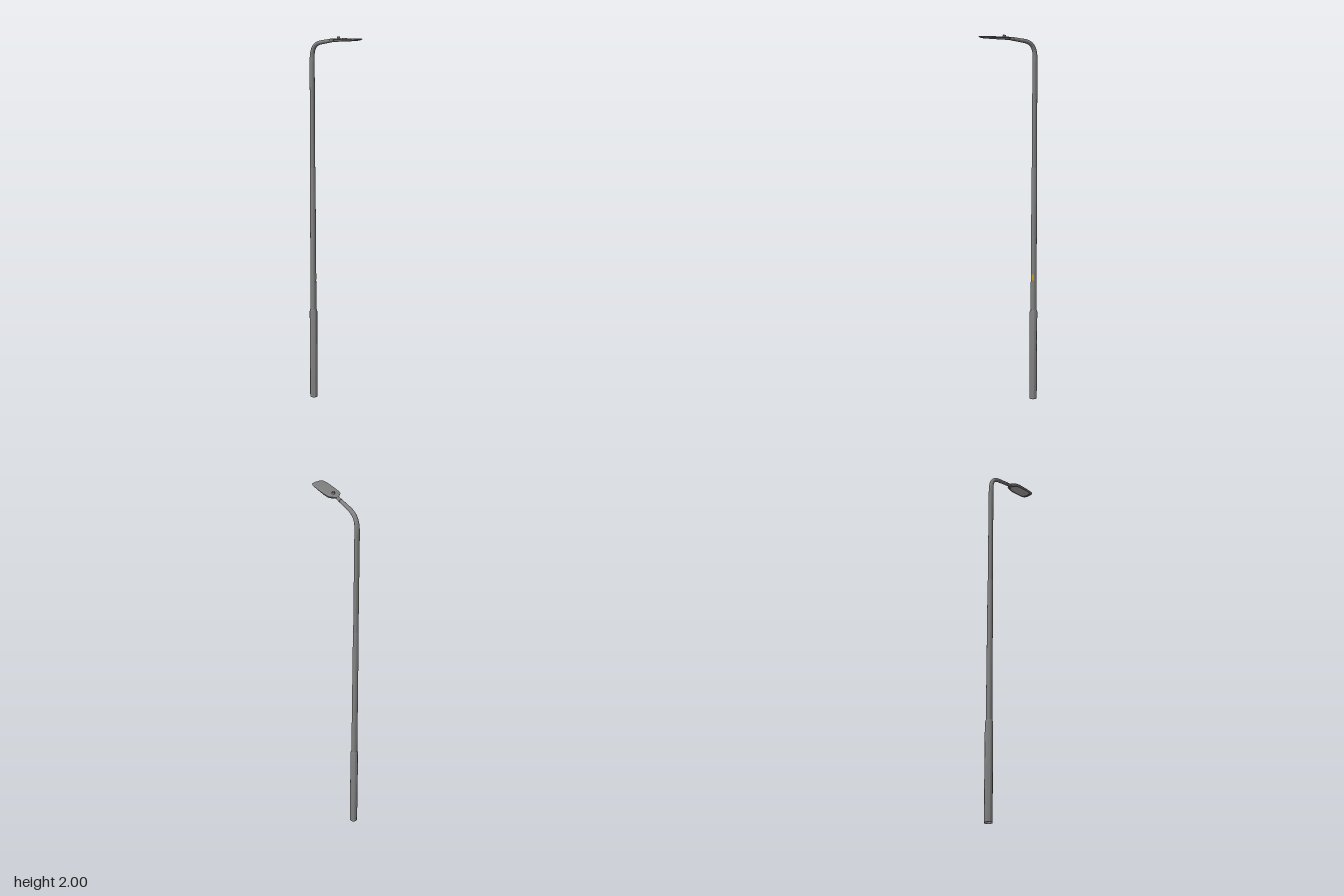
import * as THREE from 'three';
import { toCreasedNormals } from 'three/addons/utils/BufferGeometryUtils.js';

const metal = new THREE.MeshStandardMaterial({ color: 0x808080 });
metal.name = 'galvanised grey';
const lensGrey = new THREE.MeshStandardMaterial({ color: 0xb8b8b8 });
lensGrey.name = 'lens grey';
const amber = new THREE.MeshStandardMaterial({ color: 0xc99a1e });
amber.name = 'amber';

const POLE_X = -0.1545;

function add(parent, name, geometry, material, x = 0, y = 0, z = 0) {
  const mesh = new THREE.Mesh(geometry, material);
  mesh.name = name;
  mesh.position.set(x, y, z);
  parent.add(mesh);
  return mesh;
}

function lathe(points) {
  const profile = points.map(([r, y]) => new THREE.Vector2(r, y));
  return toCreasedNormals(new THREE.LatheGeometry(profile, 24), 0.6);
}

// Thin curved plate wrapped round the pole
function wrapPlate(radius, height, angle, span) {
  return new THREE.CylinderGeometry(radius, radius, height, 10, 1, true, angle - span / 2, span);
}

// Tube along a curve whose radius narrows from r0 to r1
function taperedTube(curve, r0, r1, segments, sides) {
  const geo = new THREE.TubeGeometry(curve, segments, 1, sides);
  const pos = geo.attributes.position;
  const p = new THREE.Vector3(), c = new THREE.Vector3();
  for (let i = 0; i < pos.count; i++) {
    const t = Math.floor(i / (sides + 1)) / segments;
    curve.getPointAt(t, c);
    p.fromBufferAttribute(pos, i).sub(c).multiplyScalar(r0 + (r1 - r0) * t).add(c);
    pos.setXYZ(i, p.x, p.y, p.z);
  }
  geo.computeVertexNormals();
  return geo;
}

// Rounded plan of the lamp head, mirrored in z
const halfPlan = [[0.174, 0.016], [0.168, 0.029], [0.155, 0.035], [0.13, 0.037], [0.05, 0.037], [0.022, 0.031], [0.009, 0.018], [0.001, 0.01]];
const planPoints = [
  [0.175, 0], ...halfPlan, [0.0, 0],
  ...halfPlan.map(([x, z]) => [x, -z]).reverse(),
].map(([x, z]) => new THREE.Vector3(x, 0, z));
const plan = new THREE.CatmullRomCurve3(planPoints, true).getPoints(72).slice(0, 72);

// Loops of the plan, each [scale, height above the tilted rim, depth share below it]
function planLoops(loops) {
  const cx = 0.092, n = plan.length, verts = [], index = [];
  for (const [scale, up, down] of loops) {
    for (const p of plan) {
      const x = cx + (p.x - cx) * scale;
      const depth = 0.014 - 0.04 * x;
      verts.push(x, 1.987 + 0.05 * x + up - depth * down, p.z * scale);
    }
  }
  for (let i = 0; i < loops.length - 1; i++) {
    for (let j = 0; j < n; j++) {
      const k = (j + 1) % n;
      const a = i * n + j, b = i * n + k, c = a + n, d = b + n;
      index.push(a, b, c, b, d, c);
    }
  }
  const geo = new THREE.BufferGeometry();
  geo.setAttribute('position', new THREE.Float32BufferAttribute(verts, 3));
  geo.setIndex(index);
  return toCreasedNormals(geo, 0.7);
}

export function createModel() {
  const model = new THREE.Group();
  model.name = 'streetLamp';

  // Stepped pole, hollow at the foot
  const pole = new THREE.Group();
  pole.name = 'pole';
  pole.position.x = POLE_X;
  model.add(pole);
  add(pole, 'baseSection', lathe([
    [0, 0.3], [0.0185, 0.3], [0.0185, 0], [0.0208, 0], [0.0208, 0.505], [0.0165, 0.52], [0, 0.52],
  ]), metal);
  add(pole, 'middleSection', lathe([[0.0162, 0.51], [0.0145, 1.3], [0.0133, 1.306], [0, 1.306]]), metal);
  add(pole, 'upperSection', lathe([[0.0134, 1.3], [0.013, 1.86]]), metal);

  // Access door on the side away from the lamp
  add(pole, 'accessDoor', wrapPlate(0.0211, 0.12, Math.PI * 1.5, 1), metal, 0, 0.23, 0);

  // Identification plate
  add(pole, 'identificationPlate', wrapPlate(0.0166, 0.032, Math.PI * 0.69, 1), amber, 0, 0.705, 0);

  // Bent arm
  const bend = new THREE.CurvePath();
  const v = (x, y) => new THREE.Vector3(x, y, 0);
  bend.add(new THREE.LineCurve3(v(POLE_X, 1.85), v(POLE_X, 1.875)));
  bend.add(new THREE.CubicBezierCurve3(v(POLE_X, 1.875), v(POLE_X, 1.93), v(-0.135, 1.956), v(-0.085, 1.965)));
  bend.add(new THREE.LineCurve3(v(-0.085, 1.965), v(-0.02, 1.977)));
  add(model, 'arm', taperedTube(bend, 0.013, 0.009, 40, 20), metal);

  // Collar and neck joining arm and head
  const collar = add(model, 'collar', new THREE.CylinderGeometry(0.0099, 0.0099, 0.006, 20), metal, -0.022, 1.9766, 0);
  collar.rotation.z = -Math.PI / 2 + 0.18;
  const neckPath = new THREE.LineCurve3(v(-0.02, 1.977), v(0.03, 1.985));
  add(model, 'neck', taperedTube(neckPath, 0.009, 0.0065, 8, 20), metal);

  // Flat lamp head with a recessed underside
  const head = new THREE.Group();
  head.name = 'lampHead';
  model.add(head);
  add(head, 'housing', planLoops([
    [0, 0.002, 0], [0.6, 0.002, 0], [0.88, 0.0015, 0], [0.97, 0.0005, 0], [1, -0.001, 0],
    [0.98, -0.001, 0.3], [0.86, 0, 1], [0.78, 0, 1], [0.76, 0, 0.75],
  ]), metal);
  add(head, 'lens', planLoops([[0.77, 0, 0.75], [0, 0, 0.75]]), lensGrey);

  // Light sensor on top, tilted with the head
  const sensor = add(head, 'sensor', new THREE.CylinderGeometry(0.0075, 0.0085, 0.01, 20), metal, 0.034, 1.9945, 0);
  sensor.rotation.z = 0.05;

  return model;
}
